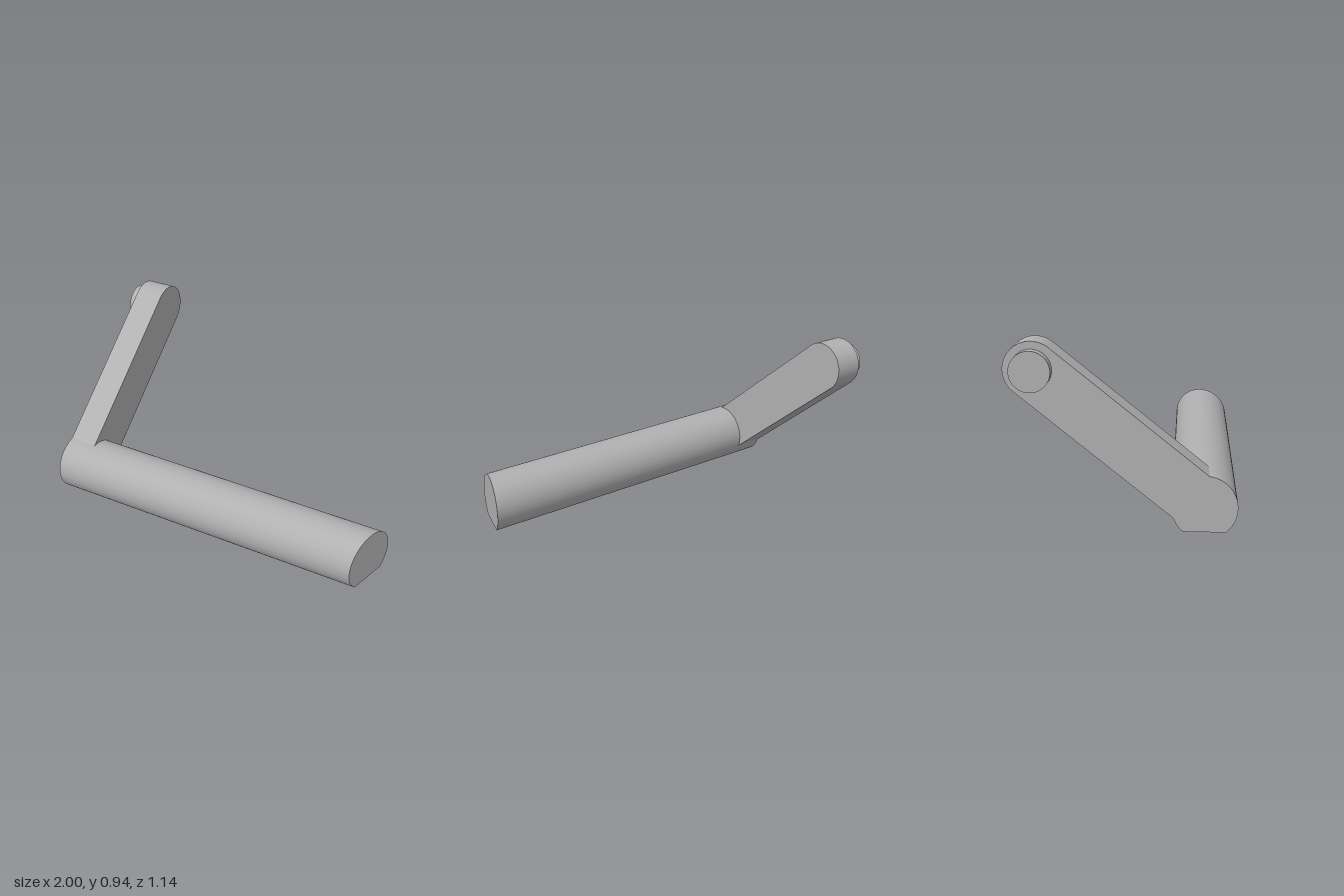
import * as THREE from 'three';
import { toCreasedNormals } from 'three/addons/utils/BufferGeometryUtils.js';

const LEFT_FACE = -0.945;
const GRIP = { z: 0.41, y: 0.124, r: 0.163 };
const TIP = { z: -0.43, y: 0.802, r: 0.139 };

// Extrudes a side profile (drawn in -z, y) along +x from x0 to x1.
function prism(shape, x0, x1) {
  const geo = new THREE.ExtrudeGeometry(shape, { depth: x1 - x0, bevelEnabled: false, curveSegments: 64 });
  return geo.rotateY(Math.PI / 2).translate(x0, 0, 0);
}

export function createModel() {
  const group = new THREE.Group();
  const grey = new THREE.MeshStandardMaterial({ color: 0xb0b0b0 });
  grey.name = 'plain grey';
  const add = (name, geo) => {
    const mesh = new THREE.Mesh(toCreasedNormals(geo, 0.5), grey);
    mesh.name = name;
    group.add(mesh);
  };

  // Round grip bar with a flat underside
  const a = Math.asin(GRIP.y / GRIP.r);
  const gripShape = new THREE.Shape();
  gripShape.absarc(-GRIP.z, GRIP.y, GRIP.r, -a, Math.PI + a, false);
  gripShape.closePath();
  const grip = prism(gripShape, LEFT_FACE, 1);
  // Slanted cut across the free end
  const pos = grip.attributes.position;
  for (let i = 0; i < pos.count; i++) {
    if (pos.getX(i) > 0) pos.setX(i, 1 - (pos.getZ(i) - (GRIP.z - GRIP.r)) * 0.268);
  }
  add('gripBar', grip);

  // Sloping arm with a rounded tip, rooted inside the grip
  const slope = Math.atan2(TIP.y - GRIP.y, GRIP.z - TIP.z);
  const nx = -Math.sin(slope) * TIP.r, ny = Math.cos(slope) * TIP.r;
  const armShape = new THREE.Shape();
  armShape.moveTo(-GRIP.z + nx, GRIP.y + ny);
  armShape.lineTo(-GRIP.z - nx, GRIP.y - ny);
  armShape.absarc(-TIP.z, TIP.y, TIP.r, slope - Math.PI / 2, slope + Math.PI / 2, false);
  armShape.closePath();
  add('arm', prism(armShape, LEFT_FACE, -0.78));

  // Short pivot pin on the outer face of the arm
  const pin = new THREE.CylinderGeometry(0.101, 0.101, 0.075, 64);
  pin.rotateZ(Math.PI / 2).translate(-1 + 0.0375, TIP.y, TIP.z);
  add('pivotPin', pin);

  return group;
}
